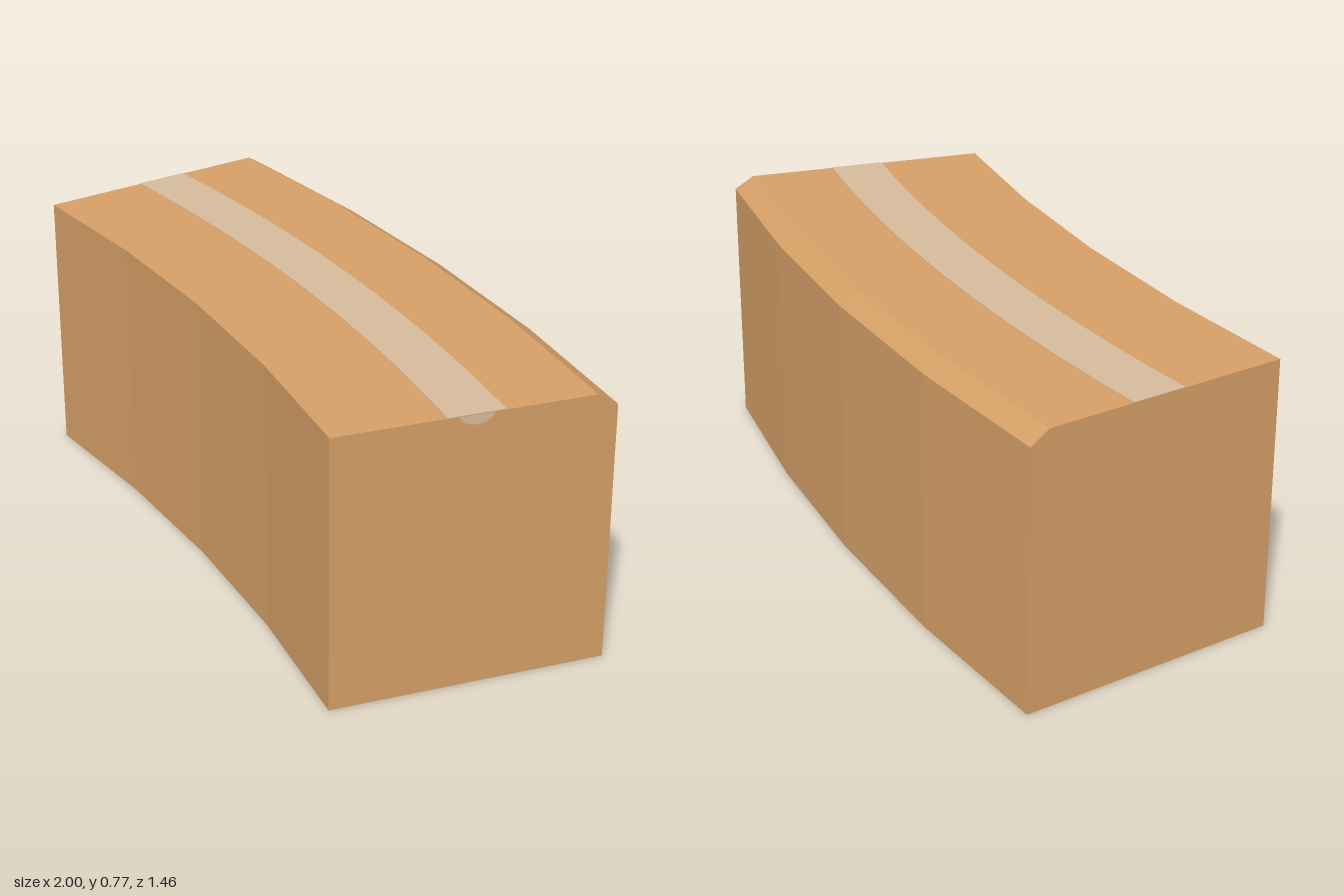
import * as THREE from 'three';

// Arc that the block follows: centre on the ground plane and start/end angles
const CX = -2.732, CZ = 5.885;
const A0 = 0.2862, A1 = 0.5716;
const R_IN = 6.135, R_OUT = 6.898, R_MID = (R_IN + R_OUT) / 2;
const TOP = 0.77;

const at = (r, y, a) => [CX + r * Math.sin(a), y, CZ - r * Math.cos(a)];

// Sweep a counter-clockwise [radius, height] section along the arc, closed at both ends
function sweepArc(section, steps) {
  const pos = [];
  const tri = (...pts) => pts.forEach(p => pos.push(...p));
  const n = section.length;
  for (let s = 0; s < steps; s++) {
    const a = A0 + (A1 - A0) * s / steps;
    const b = A0 + (A1 - A0) * (s + 1) / steps;
    for (let i = 0; i < n; i++) {
      const p = section[i], q = section[(i + 1) % n];
      tri(at(...p, a), at(...q, a), at(...q, b));
      tri(at(...p, a), at(...q, b), at(...p, b));
    }
  }
  for (let i = 1; i < n - 1; i++) {
    const [p, q, r] = [section[0], section[i], section[i + 1]];
    tri(at(...p, A1), at(...q, A1), at(...r, A1));
    tri(at(...p, A0), at(...r, A0), at(...q, A0));
  }
  const g = new THREE.BufferGeometry();
  g.setAttribute('position', new THREE.Float32BufferAttribute(pos, 3));
  g.computeVertexNormals();
  return g;
}

export function createModel() {
  const group = new THREE.Group();
  group.name = 'curvedBlock';

  const wood = new THREE.MeshStandardMaterial({ color: 0xd6a067 });
  wood.name = 'wood';
  const pale = new THREE.MeshStandardMaterial({ color: 0xd8bc9c });
  pale.name = 'paleStripe';

  const add = (name, geometry, material) => {
    const mesh = new THREE.Mesh(geometry, material);
    mesh.name = name;
    group.add(mesh);
    return mesh;
  };

  // Curved body with a bevel along the outer top edge
  add('body', sweepArc([
    [R_IN, 0], [R_OUT, 0], [R_OUT, 0.735], [R_OUT - 0.055, TOP], [R_IN, TOP],
  ], 4), wood);

  // Pale stripe along the middle of the top
  const w = 0.078;
  add('topStripe', sweepArc([
    [R_MID - w, TOP - 0.002], [R_MID + w, TOP - 0.002],
    [R_MID + w, TOP + 0.002], [R_MID - w, TOP + 0.002],
  ], 12), pale);

  // Small half-round end of the stripe on the left end face
  const endMark = add('stripeEnd', new THREE.CircleGeometry(1, 16, Math.PI, Math.PI), pale);
  endMark.scale.set(0.045, 0.026, 1);
  endMark.position.set(...at(R_MID, TOP, A1 + 0.0004));
  endMark.rotation.y = Math.PI / 2 - A1;

  return group;
}
